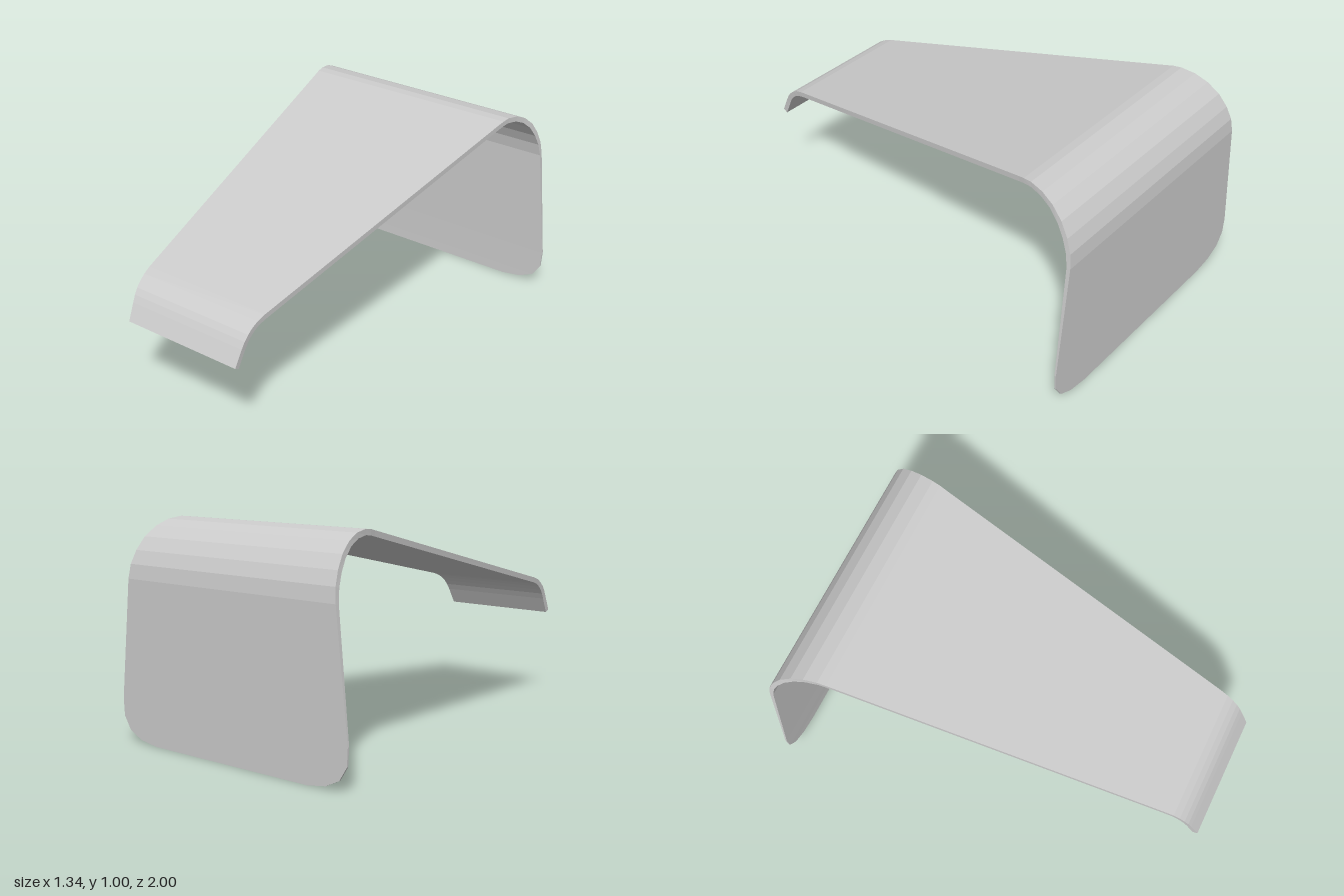
import * as THREE from 'three';

// Stations along the bent sheet: [z, y, half width, thickness], front lip to back foot
const STATIONS = [
  [1.0, 0.455, 0.296, 0.025], [0.962, 0.53, 0.301, 0.025], [0.945, 0.56, 0.304, 0.025],
  [0.925, 0.585, 0.307, 0.025], [0.9, 0.607, 0.31, 0.025], [0.87, 0.625, 0.314, 0.025],
  [0.83, 0.639, 0.32, 0.025],
  [-0.675, 0.989, 0.535, 0.025], [-0.705, 0.996, 0.54, 0.025], [-0.745, 1.0, 0.545, 0.025],
  [-0.81, 0.99, 0.556, 0.025], [-0.87, 0.963, 0.568, 0.025], [-0.925, 0.918, 0.582, 0.025],
  [-0.965, 0.86, 0.594, 0.024], [-0.99, 0.8, 0.604, 0.022], [-0.999, 0.735, 0.612, 0.018],
  [-1.0, 0.19, 0.671, 0.008], [-1.0, 0.11, 0.666, 0.007], [-1.0, 0.05, 0.627, 0.006],
  [-1.0, 0.015, 0.555, 0.006], [-1.0, 0, 0.455, 0.006],
];

// Four corners per station: outer left/right, inner right/left
function ring(i) {
  const [z, y, w, t] = STATIONS[i];
  const dir = (a, b) => new THREE.Vector2(b[0] - a[0], b[1] - a[1]).normalize();
  const prev = dir(STATIONS[Math.max(i - 1, 0)], STATIONS[Math.max(i, 1)]);
  const last = STATIONS.length - 1;
  const next = dir(STATIONS[Math.min(i, last - 1)], STATIONS[Math.min(i + 1, last)]);
  const tangent = prev.add(next).normalize();
  const iz = z - tangent.y * t;
  const iy = y + tangent.x * t;
  return [[-w, y, z], [w, y, z], [w, iy, iz], [-w, iy, iz]];
}

function bentSheet() {
  const pos = [];
  const quad = (a, b, c, d) => pos.push(...a, ...b, ...c, ...a, ...c, ...d);
  const rings = STATIONS.map((_, i) => ring(i));
  for (let i = 0; i < rings.length - 1; i++) {
    const p = rings[i], q = rings[i + 1];
    for (let k = 0; k < 4; k++) {
      const n = (k + 1) % 4;
      quad(p[k], p[n], q[n], q[k]);
    }
  }
  // End caps
  const [a, b, c, d] = rings[0];
  quad(a, d, c, b);
  quad(...rings[rings.length - 1]);
  const geo = new THREE.BufferGeometry();
  geo.setAttribute('position', new THREE.Float32BufferAttribute(pos, 3));
  geo.computeVertexNormals();
  return geo;
}

export function createModel() {
  const group = new THREE.Group();
  group.name = 'bentStand';
  const sheet = new THREE.Mesh(
    bentSheet(),
    new THREE.MeshStandardMaterial({ color: 0xcccccc, flatShading: true }),
  );
  sheet.name = 'bentSheet';
  group.add(sheet);
  return group;
}
